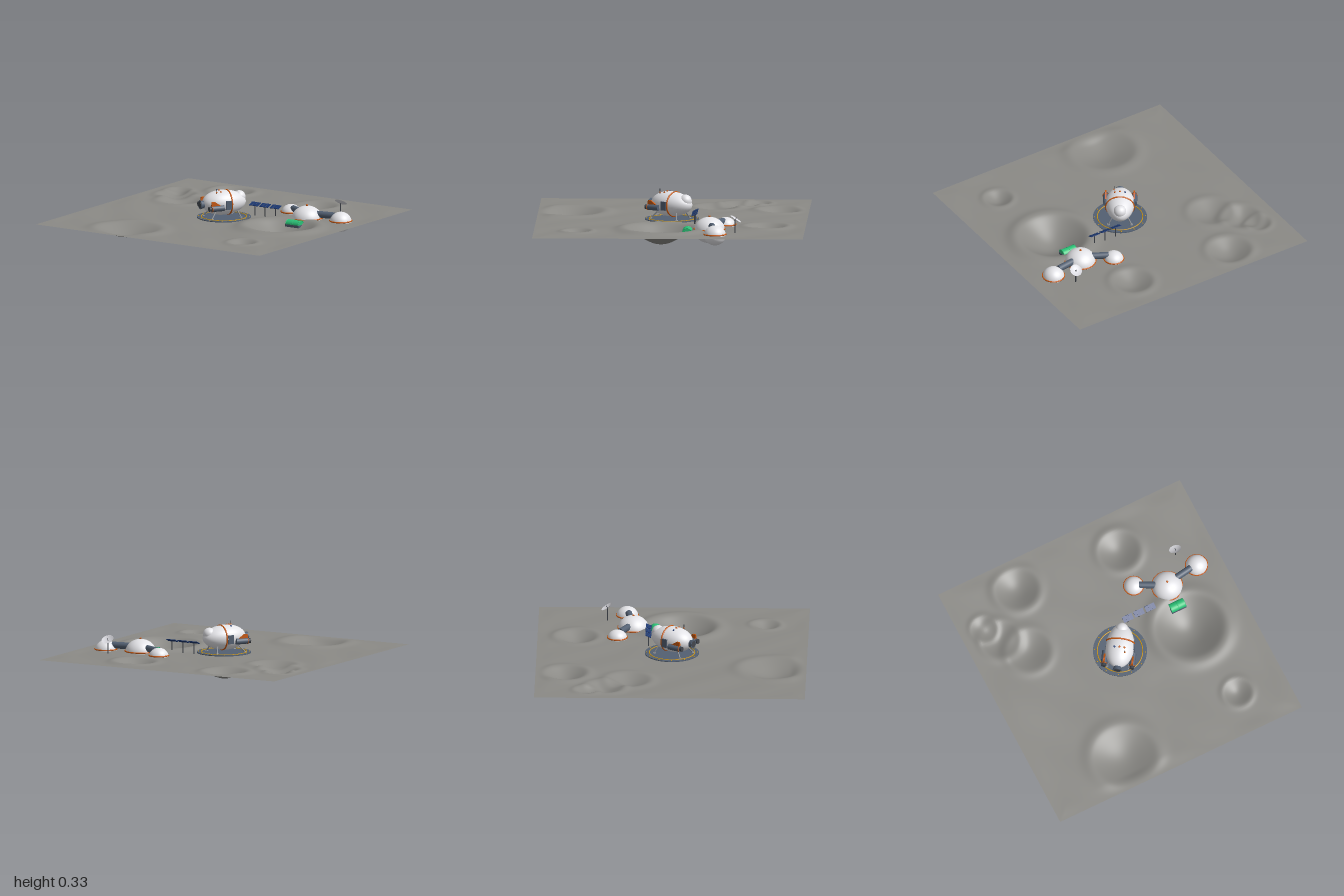
import * as THREE from 'three';

const mat = (name, color, side = THREE.FrontSide) => {
  const m = new THREE.MeshStandardMaterial({ color, side });
  m.name = name;
  return m;
};
const GROUND = 0.104;

// Craters: x, z, rim radius, depth
const CRATERS = [
  [0.55, 0.06, 0.27, 0.104], [-0.34, 0.75, 0.25, 0.055], [-0.46, -0.78, 0.17, 0.05],
  [0.35, -0.71, 0.16, 0.045], [0.63, 0.68, 0.11, 0.035], [-0.75, -0.48, 0.15, 0.04],
  [-0.6, -0.31, 0.17, 0.04], [-0.82, -0.61, 0.1, 0.03],
];

function groundHeight(x, z) {
  let h = 0.003 * Math.sin(x * 7 + 1) * Math.cos(z * 6) + 0.002 * Math.sin(x * 13 - z * 11);
  h *= THREE.MathUtils.smoothstep(Math.hypot(x, z), 0.2, 0.4);
  for (const [cx, cz, r, depth] of CRATERS) {
    const t = Math.hypot(x - cx, z - cz) / r;
    if (t < 1) h -= depth * (1 - t * t) ** 2;
    h += depth * 0.2 * Math.exp(-(((t - 1.05) / 0.22) ** 2));
  }
  const edge = 1 - Math.max(Math.abs(x), Math.abs(z));
  return GROUND + h * THREE.MathUtils.smoothstep(edge, 0, 0.12);
}

export function createModel() {
  const root = new THREE.Group();
  root.name = 'lunarBase';
  const soil = mat('soil', 0x8b8a86, THREE.DoubleSide);
  const white = mat('white hull', 0xe6e6ea);
  const orange = mat('orange trim', 0xc8590f);
  const slate = mat('slate', 0x536072);
  const metal = mat('grey metal', 0x85898f);
  const navy = mat('solar blue', 0x1c3872);
  const green = mat('greenhouse green', 0x2bc277);
  const yellow = mat('pad yellow', 0xc9961a);
  const dishWhite = mat('dish white', 0xd8d8de, THREE.DoubleSide);
  const dark = mat('dark metal', 0x42464d);

  const add = (parent, name, geo, material, x = 0, y = 0, z = 0) => {
    const m = new THREE.Mesh(geo, material);
    m.name = name;
    m.position.set(x, y, z);
    parent.add(m);
    return m;
  };
  // Cylinder between two points
  const rod = (parent, name, a, b, r, material, sides = 10) => {
    const p = new THREE.Vector3(...a), q = new THREE.Vector3(...b), d = q.clone().sub(p);
    const m = add(parent, name, new THREE.CylinderGeometry(r, r, d.length(), sides), material);
    m.position.copy(p).add(q).multiplyScalar(0.5);
    m.quaternion.setFromUnitVectors(new THREE.Vector3(0, 1, 0), d.normalize());
    return m;
  };

  // Cratered ground
  const land = new THREE.PlaneGeometry(2, 2, 140, 140).rotateX(-Math.PI / 2);
  const pos = land.attributes.position;
  for (let i = 0; i < pos.count; i++) pos.setY(i, groundHeight(pos.getX(i), pos.getZ(i)));
  land.computeVertexNormals();
  add(root, 'ground', land, soil);

  // Landing pad
  const pad = new THREE.Group();
  pad.name = 'landingPad';
  root.add(pad);
  add(pad, 'padBase', new THREE.CylinderGeometry(0.2, 0.2, 0.008, 48), slate, 0, GROUND + 0.002, 0);
  add(pad, 'padRing', new THREE.TorusGeometry(0.168, 0.004, 6, 48).rotateX(Math.PI / 2), yellow, 0, GROUND + 0.006, 0);
  for (let i = 0; i < 12; i++) {
    const a = (i / 12) * Math.PI * 2;
    add(pad, 'padLight', new THREE.SphereGeometry(0.005, 8, 6), yellow, 0.188 * Math.cos(a), GROUND + 0.007, 0.188 * Math.sin(a));
  }

  // Ship: local +z is the nose
  const ship = new THREE.Group();
  ship.name = 'ship';
  ship.position.y = 0.217;
  ship.rotation.y = Math.atan2(0.55, -0.84);
  root.add(ship);
  const hull = [];
  for (let i = 0; i <= 24; i++) {
    const a = (i / 24) * Math.PI;
    hull.push(new THREE.Vector2(0.106 * Math.sin(a) * (1 + 0.08 * Math.cos(a)), -0.17 * Math.cos(a)));
  }
  add(ship, 'hull', new THREE.LatheGeometry(hull, 36).rotateX(Math.PI / 2), white).scale.y = 0.87;
  add(ship, 'hullBand', new THREE.TorusGeometry(0.104, 0.006, 8, 40), orange, 0, 0, 0.025).scale.y = 0.87;
  add(ship, 'cockpit', new THREE.SphereGeometry(0.047, 24, 16), white, 0, 0.032, 0.122);
  add(ship, 'mainNozzle', new THREE.CylinderGeometry(0.024, 0.034, 0.04, 20).rotateX(Math.PI / 2), slate, 0, -0.005, -0.172);
  add(ship, 'nozzleCore', new THREE.CylinderGeometry(0.024, 0.024, 0.004, 20).rotateX(Math.PI / 2), dark, 0, -0.005, -0.192);
  const finShape = new THREE.Shape([[-0.05, 0], [0.03, 0], [-0.02, 0.034], [-0.045, 0.034]].map((p) => new THREE.Vector2(...p)));
  for (const s of [-1, 1]) {
    add(ship, 'enginePod', new THREE.CylinderGeometry(0.022, 0.022, 0.1, 20).rotateX(Math.PI / 2), slate, s * 0.105, -0.022, -0.095);
    add(ship, 'podNozzle', new THREE.CylinderGeometry(0.014, 0.019, 0.02, 16).rotateX(Math.PI / 2), dark, s * 0.105, -0.022, -0.153);
    add(ship, 'podRing', new THREE.TorusGeometry(0.022, 0.003, 6, 20), orange, s * 0.105, -0.022, -0.14);
    const fin = new THREE.ExtrudeGeometry(finShape, { depth: 0.012, bevelEnabled: false });
    fin.translate(0, 0, -0.006).rotateY(-Math.PI / 2);
    add(ship, 'podFin', fin, orange, s * 0.105, -0.005, -0.095);
    add(ship, 'sideHatch', new THREE.BoxGeometry(0.02, 0.065, 0.045), slate, s * 0.1, -0.005, -0.005);
    for (const [top, foot] of [[-0.085, -0.13], [0.08, 0.1]]) {
      rod(ship, 'leg', [s * 0.055, -0.05, top], [s * 0.085, -0.105, foot], 0.005, metal);
      add(ship, 'foot', new THREE.CylinderGeometry(0.011, 0.014, 0.006, 14), metal, s * 0.085, -0.106, foot);
    }
  }
  // Roof lights and antenna
  [[0.037, navy], [0, orange], [-0.037, orange]].forEach(([x, m]) =>
    add(ship, 'roofLight', new THREE.SphereGeometry(0.008, 12, 8), m, x, x ? 0.084 : 0.091, -0.04));
  rod(ship, 'antenna', [-0.044, 0.05, -0.077], [-0.044, 0.112, -0.077], 0.0025, dark, 6);
  add(ship, 'antennaTip', new THREE.SphereGeometry(0.006, 10, 8), orange, -0.044, 0.085, -0.077);

  // Solar panels on posts, tilted to the front
  for (const x of [0.155, 0.247, 0.34]) {
    const z = -0.178;
    rod(root, 'panelPost', [x, GROUND - 0.005, z], [x, 0.186, z], 0.004, dark, 8);
    const panel = new THREE.Group();
    panel.name = 'solarPanel';
    panel.position.set(x, 0.19, z);
    panel.rotation.x = 0.42;
    root.add(panel);
    add(panel, 'panelPlate', new THREE.BoxGeometry(0.078, 0.004, 0.046), navy);
    for (const dx of [-0.013, 0.013])
      add(panel, 'panelDivider', new THREE.BoxGeometry(0.0015, 0.001, 0.046), slate, dx, 0.0025, 0);
  }

  // Habitat domes: x, z, radius, vertical radius
  const domes = [[0.54, -0.296, 0.114, 0.097], [0.32, -0.41, 0.073, 0.064], [0.808, -0.345, 0.081, 0.074]];
  for (const [x, z, r, h] of domes) {
    add(root, 'dome', new THREE.SphereGeometry(r, 32, 22), white, x, GROUND, z).scale.y = h / r;
    add(root, 'domeRing', new THREE.TorusGeometry(r, 0.005, 8, 40).rotateX(Math.PI / 2), orange, x, GROUND + 0.009, z);
  }
  add(root, 'domeBeacon', new THREE.SphereGeometry(0.008, 12, 8), orange, 0.54, 0.205, -0.296);
  rod(root, 'leftTunnel', [0.49, 0.142, -0.322], [0.355, 0.142, -0.393], 0.025, slate, 20).position.set(0.42, 0.142, -0.354);
  rod(root, 'rightTunnel', [0.6, 0.145, -0.311], [0.755, 0.145, -0.334], 0.025, slate, 20);

  // Greenhouse beside the main dome
  add(root, 'greenhouseBase', new THREE.BoxGeometry(0.12, 0.018, 0.076), slate, 0.54, 0.082, -0.133);
  const vault = new THREE.CylinderGeometry(0.036, 0.036, 0.114, 20, 1, false, 0, Math.PI).rotateZ(Math.PI / 2);
  add(root, 'greenhouseVault', vault, green, 0.54, 0.09, -0.133).scale.y = 0.9;
  for (const dx of [-0.057, 0, 0.057])
    add(root, 'greenhouseRib', new THREE.TorusGeometry(0.036, 0.002, 6, 16, Math.PI).rotateY(Math.PI / 2), green, 0.54 + dx, 0.09, -0.133).scale.y = 0.9;

  // Dish antenna facing up and back
  rod(root, 'dishPole', [0.707, GROUND - 0.005, -0.49], [0.707, 0.208, -0.49], 0.005, dark, 8);
  const dish = new THREE.Group();
  dish.name = 'dish';
  dish.position.set(0.707, 0.205, -0.49);
  dish.rotation.x = -0.58;
  root.add(dish);
  const bowl = [0, 0.012, 0.024, 0.036, 0.046].map((r) => new THREE.Vector2(r, r * r * 5));
  add(dish, 'dishBowl', new THREE.LatheGeometry(bowl, 28), dishWhite);
  rod(dish, 'dishFeed', [0, 0, 0], [0, 0.02, 0], 0.002, dark, 6);

  return root;
}
